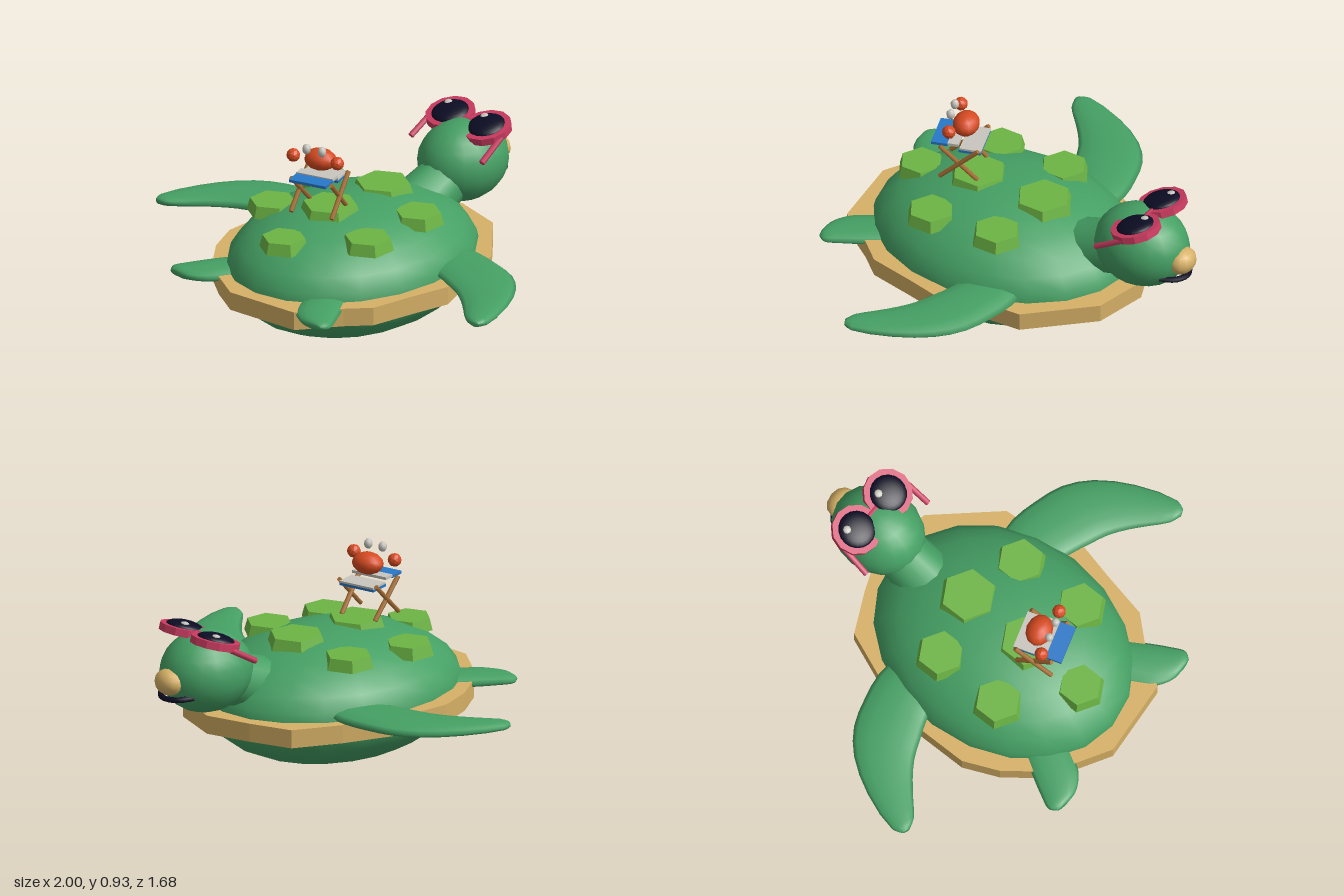
import * as THREE from 'three';

const mat = (name, color) => {
  const m = new THREE.MeshStandardMaterial({ color });
  m.name = name;
  return m;
};

// Faceted copy of a geometry
function facet(geo) {
  const g = geo.index ? geo.toNonIndexed() : geo;
  g.computeVertexNormals();
  return g;
}

// Flat paddle lofted between a leading and a trailing edge, each a list of [x, z]
function paddle(lead, trail, y, thick) {
  const curve = (pts) => new THREE.CatmullRomCurve3(pts.map(([x, z]) => new THREE.Vector3(x, y, z)));
  const a = curve(lead), b = curve(trail), rings = 14, sides = 12;
  const pos = [], index = [];
  for (let i = 0; i <= rings; i++) {
    const t = i / rings;
    const p = a.getPoint(t), q = b.getPoint(t);
    const mid = p.clone().add(q).multiplyScalar(0.5);
    const half = p.clone().sub(q).multiplyScalar(0.5);
    const h = thick * Math.sqrt(1 - 0.88 * t * t);
    for (let j = 0; j < sides; j++) {
      const ang = (j / sides) * Math.PI * 2;
      pos.push(mid.x + half.x * Math.cos(ang), y + h * Math.sin(ang), mid.z + half.z * Math.cos(ang));
      const k = (j + 1) % sides, r = i * sides;
      if (i < rings) index.push(r + j, r + k, r + sides + j, r + k, r + sides + k, r + sides + j);
    }
  }
  // close the tip
  const last = rings * sides;
  for (let j = 1; j < sides - 1; j++) index.push(last, last + j, last + j + 1);
  const g = new THREE.BufferGeometry();
  g.setAttribute('position', new THREE.Float32BufferAttribute(pos, 3));
  g.setIndex(index);
  g.computeVertexNormals();
  return g;
}

export function createModel() {
  const root = new THREE.Group();
  root.name = 'turtle';
  const skin = mat('skin green', 0x45a064);
  const plateGreen = mat('plate green', 0x6cb544);
  const tan = mat('tan', 0xd6b066);
  const pink = mat('frame pink', 0xcb3b60);
  const dark = mat('dark', 0x0c0c24);
  const white = mat('pale grey', 0xc8c6be);
  const wood = mat('wood', 0xa86f35);
  const blue = mat('canvas blue', 0x2878c8);
  const red = mat('crab red', 0xd64a20);

  const add = (parent, name, geo, material, x = 0, y = 0, z = 0) => {
    const m = new THREE.Mesh(geo, material);
    m.name = name;
    m.position.set(x, y, z);
    parent.add(m);
    return m;
  };
  const ball = (parent, name, material, p, r, w = 18, h = 12) => {
    const m = add(parent, name, new THREE.SphereGeometry(1, w, h), material, ...p);
    m.scale.set(...r);
    return m;
  };
  // Straight bar between two points
  const bar = (parent, name, material, from, to, r, r2 = r, sides = 6) => {
    const a = new THREE.Vector3(...from), b = new THREE.Vector3(...to);
    const d = b.clone().sub(a);
    const m = add(parent, name, new THREE.CylinderGeometry(r2, r, d.length(), sides), material);
    m.position.copy(a).add(b).multiplyScalar(0.5);
    m.quaternion.setFromUnitVectors(new THREE.Vector3(0, 1, 0), d.normalize());
    return m;
  };

  // Body
  ball(root, 'body', skin, [0, 0.303, 0.14], [0.505, 0.298, 0.63], 20, 14);

  // Uneven shell rim
  const outline = [
    [0, -0.57], [-0.2, -0.49], [-0.385, -0.4], [-0.475, -0.18], [-0.55, 0.08], [-0.55, 0.35],
    [-0.48, 0.51], [-0.37, 0.65], [-0.235, 0.75], [-0.085, 0.835], [0.27, 0.8], [0.4, 0.62],
    [0.49, 0.52], [0.535, 0.3], [0.575, 0.13], [0.5, -0.06], [0.49, -0.24], [0.245, -0.51],
  ];
  const rim = new THREE.ExtrudeGeometry(
    new THREE.Shape(outline.map(([x, z]) => new THREE.Vector2(x, -z))),
    { depth: 0.085, bevelEnabled: false });
  rim.rotateX(-Math.PI / 2);
  add(root, 'shellRim', rim, tan, 0, 0.248, 0);

  // Six-sided shell plates: x, z, top height, radius
  for (const [x, z, top, r] of [
    [0, -0.06, 0.607, 0.14], [0, 0.28, 0.613, 0.14], [0, 0.58, 0.547, 0.112],
    [-0.28, 0.01, 0.573, 0.119], [0.28, 0.01, 0.573, 0.119],
    [-0.29, 0.345, 0.56, 0.119], [0.29, 0.345, 0.56, 0.119],
  ]) {
    const g = facet(new THREE.CylinderGeometry(r * 0.87, r, 0.055, 6));
    add(root, 'shellPlate', g, plateGreen, x, top - 0.0275, z);
  }

  // Flippers, mirrored
  const frontGeo = paddle(
    [[0.36, -0.18], [0.47, -0.19], [0.6, -0.165], [0.73, -0.12], [0.84, -0.03], [0.94, 0.13], [1.0, 0.32], [0.985, 0.365]],
    [[0.36, 0.08], [0.5, 0.11], [0.6, 0.15], [0.68, 0.185], [0.76, 0.24], [0.83, 0.3], [0.9, 0.36], [0.95, 0.378]],
    0.352, 0.036);
  const rearGeo = paddle(
    [[0.32, 0.5], [0.4, 0.63], [0.45, 0.72], [0.48, 0.79], [0.46, 0.825]],
    [[0.15, 0.58], [0.21, 0.7], [0.26, 0.78], [0.34, 0.83], [0.41, 0.835]],
    0.322, 0.032);
  for (const s of [1, -1]) {
    add(root, 'frontFlipper', frontGeo, skin).scale.x = s;
    add(root, 'rearFlipper', rearGeo, skin).scale.x = s;
  }

  // Neck, head, beak and mouth
  bar(root, 'neck', skin, [0, 0.4, -0.26], [0, 0.51, -0.5], 0.14, 0.115, 14);
  ball(root, 'head', skin, [0, 0.55, -0.575], [0.19, 0.188, 0.222]);
  ball(root, 'beak', tan, [0, 0.54, -0.785], [0.075, 0.06, 0.06], 12, 8);
  const smile = new THREE.CatmullRomCurve3([
    [-0.1, 0.478, -0.725], [-0.06, 0.47, -0.785], [0, 0.468, -0.81], [0.06, 0.47, -0.785], [0.1, 0.478, -0.725],
  ].map((p) => new THREE.Vector3(...p)));
  add(root, 'mouth', new THREE.TubeGeometry(smile, 14, 0.014, 6), dark);

  // Sunglasses
  const glasses = new THREE.Group();
  glasses.name = 'sunglasses';
  glasses.position.set(0, 0.718, -0.612);
  glasses.rotation.x = 0.26;
  root.add(glasses);
  for (const s of [1, -1]) {
    add(glasses, 'lensFrame', facet(new THREE.CylinderGeometry(0.113, 0.113, 0.034, 12)), pink, s * 0.11, 0, 0);
    ball(glasses, 'lens', dark, [s * 0.11, 0.014, 0], [0.086, 0.028, 0.086]);
    ball(glasses, 'lensGlint', white, [s * 0.11 - 0.035, 0.034, -0.032], [0.02, 0.01, 0.02], 8, 6);
    bar(root, 'templeArm', pink, [s * 0.208, 0.705, -0.6], [s * 0.216, 0.628, -0.467], 0.014);
  }
  bar(glasses, 'bridge', pink, [-0.03, 0.008, 0], [0.03, 0.008, 0], 0.014);

  // Folding stool with crossed legs
  const stool = new THREE.Group();
  stool.name = 'stool';
  stool.position.set(0.005, 0, 0.355);
  stool.rotation.y = 0.31;
  root.add(stool);
  for (const s of [1, -1]) {
    bar(stool, 'stoolLeg', wood, [s * 0.088, 0.612, -0.085], [s * 0.098, 0.775, 0.085], 0.011);
    bar(stool, 'stoolLeg', wood, [s * 0.1, 0.612, 0.085], [s * 0.098, 0.775, -0.09], 0.011);
  }
  add(stool, 'seatFront', new THREE.BoxGeometry(0.18, 0.013, 0.075), blue, 0, 0.78, 0.09);
  add(stool, 'seatMiddle', new THREE.BoxGeometry(0.18, 0.013, 0.05), white, 0, 0.785, 0.027);
  add(stool, 'seatBack', new THREE.BoxGeometry(0.18, 0.012, 0.1), blue, 0, 0.757, -0.05);
  add(stool, 'seatBackCloth', new THREE.BoxGeometry(0.178, 0.009, 0.098), white, 0, 0.7675, -0.052);

  // Crab
  const crab = new THREE.Group();
  crab.name = 'crab';
  crab.position.set(0, 0.847, 0.345);
  crab.rotation.y = 0.31;
  root.add(crab);
  ball(crab, 'crabBody', red, [0, 0, 0], [0.075, 0.05, 0.06], 12, 8);
  for (const s of [1, -1]) {
    const claw = facet(new THREE.IcosahedronGeometry(0.031, 1));
    add(crab, 'crabClaw', claw, red, s * 0.108, 0.02, 0.052);
    ball(crab, 'crabEye', white, [s * 0.038, 0.066, 0.062], [0.02, 0.024, 0.02], 8, 6);
  }
  return root;
}
